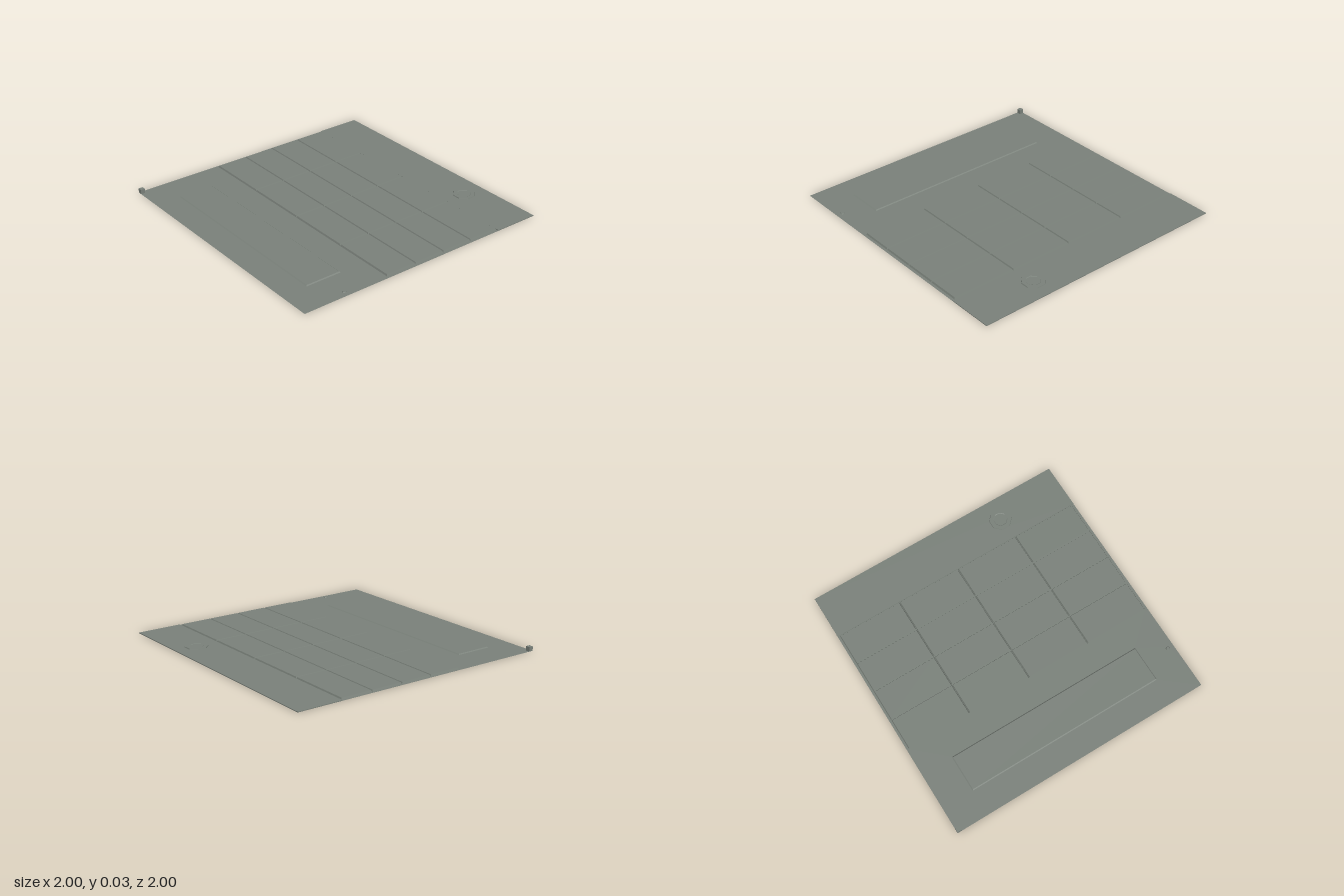
import * as THREE from 'three';

// counter-clockwise outlines, seen from above, as [x, z]
const rect = (x0, x1, z0, z1) => [[x0, z1], [x1, z1], [x1, z0], [x0, z0]];
const inset = ([a, b, c], d) => rect(a[0] + d, b[0] - d, c[1] + d, b[1] - d);
const octagon = (x, z, r) => Array.from({ length: 8 }, (_, i) => {
  const a = (i + 0.5) * Math.PI / 4;
  return [x + r * Math.cos(a), z - r * Math.sin(a)];
});

export function createModel() {
  const group = new THREE.Group();
  const steel = new THREE.MeshStandardMaterial({ color: 0x7b827b, side: THREE.DoubleSide });
  steel.name = 'grey green metal';

  const add = (geometry, name) => {
    const mesh = new THREE.Mesh(geometry, steel);
    mesh.name = name;
    group.add(mesh);
  };

  // flat sheet at a height, with openings
  const sheet = (name, outline, y, holes = []) => {
    const points = (o) => o.map(([x, z]) => new THREE.Vector2(x, -z));
    const shape = new THREE.Shape(points(outline));
    shape.holes = holes.map((h) => new THREE.Path(points(h)));
    add(new THREE.ShapeGeometry(shape).rotateX(-Math.PI / 2).translate(0, y, 0), name);
  };

  // sloping sides between two outlines
  const sides = (name, low, y0, high, y1) => {
    const p = [];
    low.forEach((a, i) => {
      const j = (i + 1) % low.length, b = low[j], c = high[j], d = high[i];
      const A = [a[0], y0, a[1]], B = [b[0], y0, b[1]], C = [c[0], y1, c[1]], D = [d[0], y1, d[1]];
      p.push(...A, ...B, ...C, ...A, ...C, ...D);
    });
    const g = new THREE.BufferGeometry();
    g.setAttribute('position', new THREE.Float32BufferAttribute(p, 3));
    g.computeVertexNormals();
    add(g, name);
  };

  const raised = (name, low, y0, high, y1, holes) => {
    sides(name + 'Sides', low, y0, high, y1);
    sheet(name + 'Top', high, y1, holes);
  };

  // grid of bevelled panels
  const openings = [];
  const x0 = -0.985, z0 = -0.657, w = 0.4915, d = 0.245, gap = 0.001;
  for (let i = 0; i < 4; i++) {
    for (let j = 0; j < 4; j++) {
      const low = rect(x0 + i * w + gap, x0 + (i + 1) * w - gap, z0 + j * d + gap, z0 + (j + 1) * d - gap);
      openings.push(low);
      raised('gridPanel', low, 0, inset(low, 0.005), 0.012);
    }
  }

  // long front plate and small stud
  const plate = rect(-0.762, 0.757, 0.525, 0.803);
  const stud = octagon(0.953, 0.652, 0.016);
  openings.push(plate, stud);
  raised('frontPlate', plate, 0, inset(plate, 0.007), 0.006);
  raised('stud', stud, 0, octagon(0.953, 0.652, 0.012), 0.007);

  // base sheet and slightly higher rear strip
  sheet('baseSheet', rect(-1, 1, -0.66, 1), 0, openings);
  const strip = rect(-1, 1, -1, -0.66);
  const cap = octagon(0.47, -0.833, 0.085);
  raised('rearStrip', strip, 0, strip, 0.005, [cap]);

  // octagonal cap with a shallow centre
  const rim = octagon(0.47, -0.833, 0.083);
  const innerTop = octagon(0.47, -0.833, 0.054);
  const innerLow = octagon(0.47, -0.833, 0.05);
  raised('cap', cap, 0.005, rim, 0.011, [innerTop]);
  sides('capRecess', innerTop, 0.011, innerLow, 0.009);
  sheet('capCentre', innerLow, 0.009);

  // corner block
  add(new THREE.BoxGeometry(0.033, 0.033, 0.033).translate(-0.9835, 0.0165, 0.9835), 'cornerBlock');

  return group;
}
